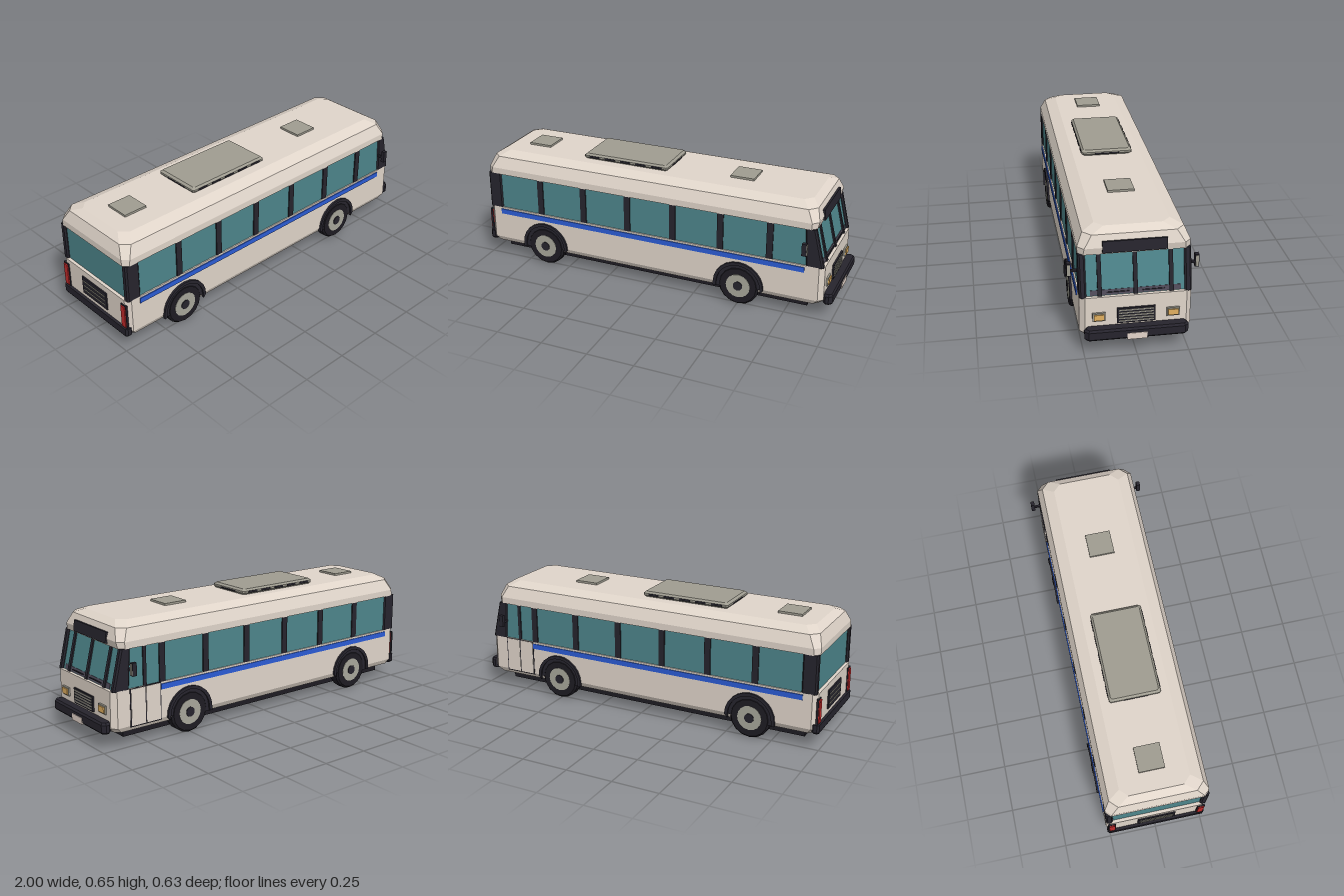
import * as THREE from 'three';

const mat = (color) => new THREE.MeshStandardMaterial({ color, flatShading: true });
const M = {
  body: mat(0xe0d5ca), glass: mat(0x4d858b), dark: mat(0x26242d), tyre: mat(0x1e1c23),
  stripe: mat(0x2b5cd6), lamp: mat(0xe2b060), grey: mat(0x9f9c90), hub: mat(0xa8a79b),
  red: mat(0xc22a2a), plate: mat(0xe6d6cc), dash: mat(0x4e4a58),
};

function add(parent, name, geometry, material, x = 0, y = 0, z = 0) {
  const mesh = new THREE.Mesh(geometry, material);
  mesh.name = name;
  mesh.position.set(x, y, z);
  parent.add(mesh);
  return mesh;
}

// Box given by its lower and upper corners
function box(parent, name, material, [x0, y0, z0], [x1, y1, z1]) {
  const g = new THREE.BoxGeometry(x1 - x0, y1 - y0, z1 - z0);
  return add(parent, name, g, material, (x0 + x1) / 2, (y0 + y1) / 2, (z0 + z1) / 2);
}

// Stacked plan outlines with cut corners: [y, x0, x1, halfWidth, cornerCut, zCentre]
function loft(rings) {
  const loops = rings.map(([y, x0, x1, h, c, zc = 0]) => [
    [x1, h - c], [x1, c - h], [x1 - c, -h], [x0 + c, -h],
    [x0, c - h], [x0, h - c], [x0 + c, h], [x1 - c, h],
  ].map(([x, z]) => [x, y, z + zc]));
  const pos = [];
  const tri = (a, b, c) => pos.push(...a, ...b, ...c);
  for (let r = 0; r + 1 < loops.length; r++) {
    const lo = loops[r], up = loops[r + 1];
    for (let i = 0; i < 8; i++) {
      const j = (i + 1) % 8;
      tri(lo[i], lo[j], up[j]);
      tri(lo[i], up[j], up[i]);
    }
  }
  const bottom = loops[0], top = loops[loops.length - 1];
  for (let i = 1; i < 7; i++) {
    tri(bottom[0], bottom[i + 1], bottom[i]);
    tri(top[0], top[i], top[i + 1]);
  }
  const g = new THREE.BufferGeometry();
  g.setAttribute('position', new THREE.Float32BufferAttribute(pos, 3));
  g.computeVertexNormals();
  return g;
}

// Wheel with arch, centred on its axle; s is the side (+1 or -1 in z)
function wheel(parent, x, s) {
  const g = new THREE.Group();
  g.name = 'wheel';
  g.position.set(x, 0.11, 0);
  parent.add(g);
  const disc = (name, r, z0, z1, material, n = 16) => {
    const m = add(g, name, new THREE.CylinderGeometry(r, r, z1 - z0, n), material, 0, 0, s * (z0 + z1) / 2);
    m.rotation.x = Math.PI / 2;
  };
  const tyre = [[0.06, 0.205], [0.1, 0.205], [0.11, 0.216], [0.11, 0.26], [0.1, 0.272], [0.06, 0.272]]
    .map(([r, z]) => new THREE.Vector2(r, z - 0.2385));
  const t = add(g, 'tyre', new THREE.LatheGeometry(tyre, 16), M.tyre, 0, 0, s * 0.2385);
  t.rotation.x = Math.PI / 2;
  disc('rim', 0.066, 0.206, 0.274, M.hub);
  disc('hubCap', 0.026, 0.27, 0.278, M.dark, 10);

  // Dark well behind the tyre and raised arch around it
  const well = new THREE.Shape();
  well.moveTo(0.122, -0.022).absarc(0, 0, 0.122, 0, Math.PI, false).lineTo(-0.122, -0.022);
  add(g, 'wheelWell', new THREE.ExtrudeGeometry(well, { depth: 0.003, bevelEnabled: false, curveSegments: 5 }),
    M.dark, 0, 0, s > 0 ? 0.2665 : -0.2695);
  const arch = new THREE.Shape();
  arch.moveTo(0.137, -0.02).absarc(0, 0, 0.137, 0, Math.PI, false).lineTo(-0.137, -0.02);
  arch.lineTo(-0.12, -0.02).absarc(0, 0, 0.12, Math.PI, 0, true).lineTo(0.12, -0.02);
  add(g, 'wheelArch', new THREE.ExtrudeGeometry(arch, { depth: 0.014, bevelEnabled: false, curveSegments: 6 }),
    M.dark, 0, 0, s > 0 ? 0.264 : -0.278);
}

export function createModel() {
  const bus = new THREE.Group();
  bus.name = 'bus';

  // Main shell
  box(bus, 'underbody', M.tyre, [-0.91, 0.038, -0.203], [0.86, 0.09, 0.203]);
  add(bus, 'lowerBody', loft([
    [0.085, -0.97, 0.93, 0.253, 0.03], [0.112, -0.985, 0.952, 0.267, 0.025], [0.3, -0.985, 0.95, 0.267, 0.025],
  ]), M.body);
  box(bus, 'floorPan', M.tyre, [-0.93, 0.082, -0.235], [0.9, 0.09, 0.235]);
  add(bus, 'windowBand', loft([
    [0.295, -0.968, 0.935, 0.26, 0.02], [0.505, -0.968, 0.885, 0.26, 0.02],
  ]), M.glass);
  add(bus, 'roof', loft([
    [0.5, -0.982, 0.898, 0.267, 0.025], [0.535, -0.982, 0.905, 0.267, 0.03],
    [0.595, -0.96, 0.885, 0.24, 0.04], [0.62, -0.92, 0.845, 0.18, 0.04],
  ]), M.body);

  // Both sides
  for (const s of [1, -1]) {
    const z0 = s > 0 ? 0.25 : -0.266, z1 = z0 + 0.016;
    for (const x of [-0.655, -0.392, -0.13, 0.132, 0.397, 0.663])
      box(bus, 'windowPillar', M.dark, [x - 0.017, 0.298, z0], [x + 0.017, 0.502, z1]);
    add(bus, 'rearCornerPillar', loft([
      [0.298, -0.98, -0.9, 0.018, 0.008, s * 0.249], [0.502, -0.98, -0.9, 0.018, 0.008, s * 0.249],
    ]), M.dark);
    add(bus, 'frontCornerPillar', loft([
      [0.298, 0.855, 0.946, 0.017, 0.008, s * 0.25], [0.502, 0.842, 0.897, 0.017, 0.008, s * 0.25],
    ]), M.dark);
    const end = s > 0 ? 0.85 : 0.675;
    box(bus, 'sideStripe', M.stripe, [-0.91, 0.262, s * 0.268 - 0.004], [end, 0.29, s * 0.268 + 0.004]);
    for (const x of [-0.635, 0.505]) wheel(bus, x, s);

    // Mirror
    box(bus, 'mirrorArm', M.dark, [0.848, 0.394, s * 0.283 - 0.025], [0.86, 0.405, s * 0.283 + 0.025]);
    box(bus, 'mirrorHousing', M.dark, [0.842, 0.376, s * 0.306 - 0.01], [0.866, 0.442, s * 0.306 + 0.01]);
    box(bus, 'mirrorFace', M.grey, [0.86, 0.381, s * 0.306 - 0.007], [0.87, 0.437, s * 0.306 + 0.007]);

    // Lamps
    box(bus, 'headlightFrame', M.grey, [0.945, 0.175, s * 0.177 - 0.031], [0.96, 0.219, s * 0.177 + 0.031]);
    box(bus, 'headlight', M.lamp, [0.95, 0.182, s * 0.177 - 0.025], [0.966, 0.212, s * 0.177 + 0.025]);
    box(bus, 'tailLightFrame', M.dark, [-0.99, 0.138, s * 0.238 - 0.021], [-0.98, 0.275, s * 0.238 + 0.021]);
    box(bus, 'tailLight', M.red, [-0.996, 0.145, s * 0.238 - 0.015], [-0.98, 0.268, s * 0.238 + 0.015]);
  }

  // Passenger door: two glazed leaves
  box(bus, 'doorFrame', M.dark, [0.675, 0.105, -0.2685], [0.855, 0.3, -0.25]);
  for (const x of [0.681, 0.768])
    box(bus, 'doorLeaf', M.body, [x, 0.111, -0.271], [x + 0.081, 0.297, -0.25]);
  box(bus, 'doorPost', M.dark, [0.756, 0.298, -0.266], [0.774, 0.502, -0.25]);

  // Sloping windscreen bars, wipers and dashboard
  const screen = new THREE.Group();
  screen.name = 'windscreen';
  screen.position.set(0.91, 0.4, 0);
  screen.rotation.z = Math.atan2(0.05, 0.2);
  bus.add(screen);
  for (const z of [-0.17, 0, 0.17])
    box(screen, 'windscreenBar', M.dark, [-0.012, -0.104, z - 0.01], [0.008, 0.104, z + 0.01]);
  box(screen, 'dashboard', M.dash, [-0.01, -0.1, -0.215], [0.002, -0.075, 0.215]);
  for (const z of [-0.085, 0.085])
    box(screen, 'wiper', M.dark, [0, -0.091, z - 0.054], [0.007, -0.086, z + 0.054]);

  // Blank destination board
  const board = box(bus, 'destinationBoard', M.dark, [0.885, 0.51, -0.153], [0.91, 0.566, 0.153]);
  board.rotation.z = 0.12;

  // Front grille, bumper and plate
  box(bus, 'grille', M.dark, [0.945, 0.157, -0.091], [0.96, 0.237, 0.091]);
  for (let i = 0; i < 5; i++)
    box(bus, 'grilleBar', M.grey, [0.95, 0.166 + i * 0.0145, -0.083], [0.963, 0.172 + i * 0.0145, 0.083]);
  add(bus, 'frontBumper', loft([
    [0.089, 0.95, 0.99, 0.24, 0.012], [0.098, 0.945, 0.997, 0.248, 0.018],
    [0.136, 0.945, 0.997, 0.248, 0.018], [0.147, 0.95, 0.99, 0.238, 0.012],
  ]), M.dark);
  box(bus, 'frontPlate', M.plate, [0.985, 0.088, -0.048], [1, 0.122, 0.048]);

  // Rear bumper and engine grille
  add(bus, 'rearBumper', loft([
    [0.088, -0.995, -0.965, 0.255, 0.008], [0.098, -1, -0.96, 0.264, 0.01], [0.138, -1, -0.96, 0.264, 0.01],
  ]), M.dark);
  box(bus, 'engineGrille', M.dark, [-0.992, 0.165, -0.1], [-0.98, 0.265, 0.1]);
  for (let i = 0; i < 3; i++)
    box(bus, 'engineGrilleBar', M.grey, [-0.995, 0.186 + i * 0.026, -0.088], [-0.98, 0.192 + i * 0.026, 0.088]);

  // Roof unit with side slots, and two hatches
  add(bus, 'roofUnit', loft([
    [0.618, -0.432, 0.037, 0.122, 0.008], [0.63, -0.442, 0.047, 0.134, 0.008],
    [0.64, -0.442, 0.047, 0.134, 0.008], [0.65, -0.43, 0.035, 0.124, 0.008],
  ]), M.grey);
  for (let i = 0; i < 5; i++) {
    const x = -0.38 + i * 0.091;
    box(bus, 'roofUnitSlot', M.dark, [x - 0.03, 0.63, -0.137], [x + 0.03, 0.64, 0.137]);
  }
  box(bus, 'roofUnitEndSlot', M.dark, [-0.443, 0.628, -0.065], [0.049, 0.635, 0.065]);
  for (const x of [-0.755, 0.44])
    box(bus, 'roofHatch', M.grey, [x - 0.065, 0.615, -0.067], [x + 0.065, 0.631, 0.067]);

  return bus;
}
